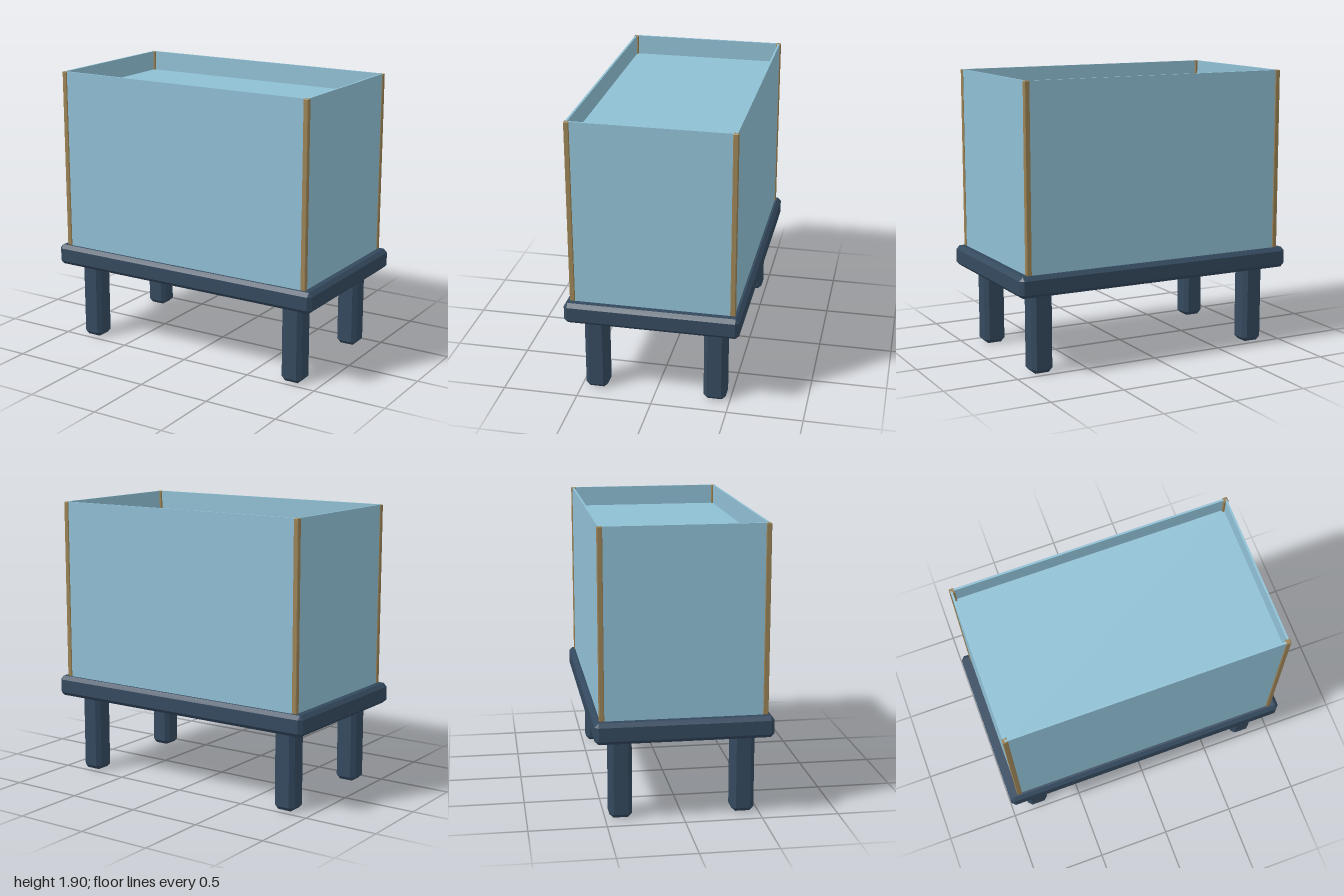
import * as THREE from 'three';
import { ConvexGeometry } from 'three/addons/geometries/ConvexGeometry.js';

// Box with every edge chamfered by b
function chamferBox(w, h, d, b) {
  const [x, y, z] = [w / 2, h / 2, d / 2];
  const points = [];
  for (const sx of [-1, 1]) for (const sy of [-1, 1]) for (const sz of [-1, 1]) {
    points.push(
      new THREE.Vector3(sx * x, sy * (y - b), sz * (z - b)),
      new THREE.Vector3(sx * (x - b), sy * y, sz * (z - b)),
      new THREE.Vector3(sx * (x - b), sy * (y - b), sz * z)
    );
  }
  return new ConvexGeometry(points);
}

export function createModel() {
  const group = new THREE.Group();
  const frame = new THREE.MeshStandardMaterial({ color: 0x34495e, flatShading: true });
  const glass = new THREE.MeshStandardMaterial({ color: 0x8fbfd4 });
  const water = new THREE.MeshStandardMaterial({ color: 0x8fbfd4 });
  const trim = new THREE.MeshStandardMaterial({ color: 0x9a8255, flatShading: true });

  const add = (name, geometry, material, x, y, z) => {
    const mesh = new THREE.Mesh(geometry, material);
    mesh.name = name;
    mesh.position.set(x, y, z);
    group.add(mesh);
  };

  const deckTop = 0.675, rim = 1.9, waterTop = 1.765;
  const tankH = rim - deckTop, tankY = (rim + deckTop) / 2;
  const outX = 0.937, outZ = 0.533, pane = 0.014; // outer faces of the glass

  // Stand
  add('standTop', chamferBox(2, 0.14, 1.145, 0.025), frame, 0, deckTop - 0.07, 0);
  const legGeometry = chamferBox(0.148, 0.57, 0.148, 0.027);
  const postGeometry = chamferBox(0.034, tankH, 0.034, 0.004);
  for (const sx of [-1, 1]) for (const sz of [-1, 1]) {
    add('leg', legGeometry, frame, sx * 0.805, 0.285, sz * 0.398);
    add('cornerPost', postGeometry, trim, sx * 0.926, tankY, sz * 0.523);
  }

  // Glass walls
  const longPane = new THREE.BoxGeometry(2 * outX - 0.02, tankH, pane);
  const sidePane = new THREE.BoxGeometry(pane, tankH, 2 * outZ - 0.02);
  for (const s of [-1, 1]) {
    add('longGlassPane', longPane, glass, 0, tankY, s * (outZ - pane / 2));
    add('sideGlassPane', sidePane, glass, s * (outX - pane / 2), tankY, 0);
  }

  // Water filling the tank to just below the rim
  const waterH = waterTop - deckTop;
  add('water', new THREE.BoxGeometry(2 * (outX - pane), waterH, 2 * (outZ - pane)),
    water, 0, deckTop + waterH / 2, 0);

  return group;
}
